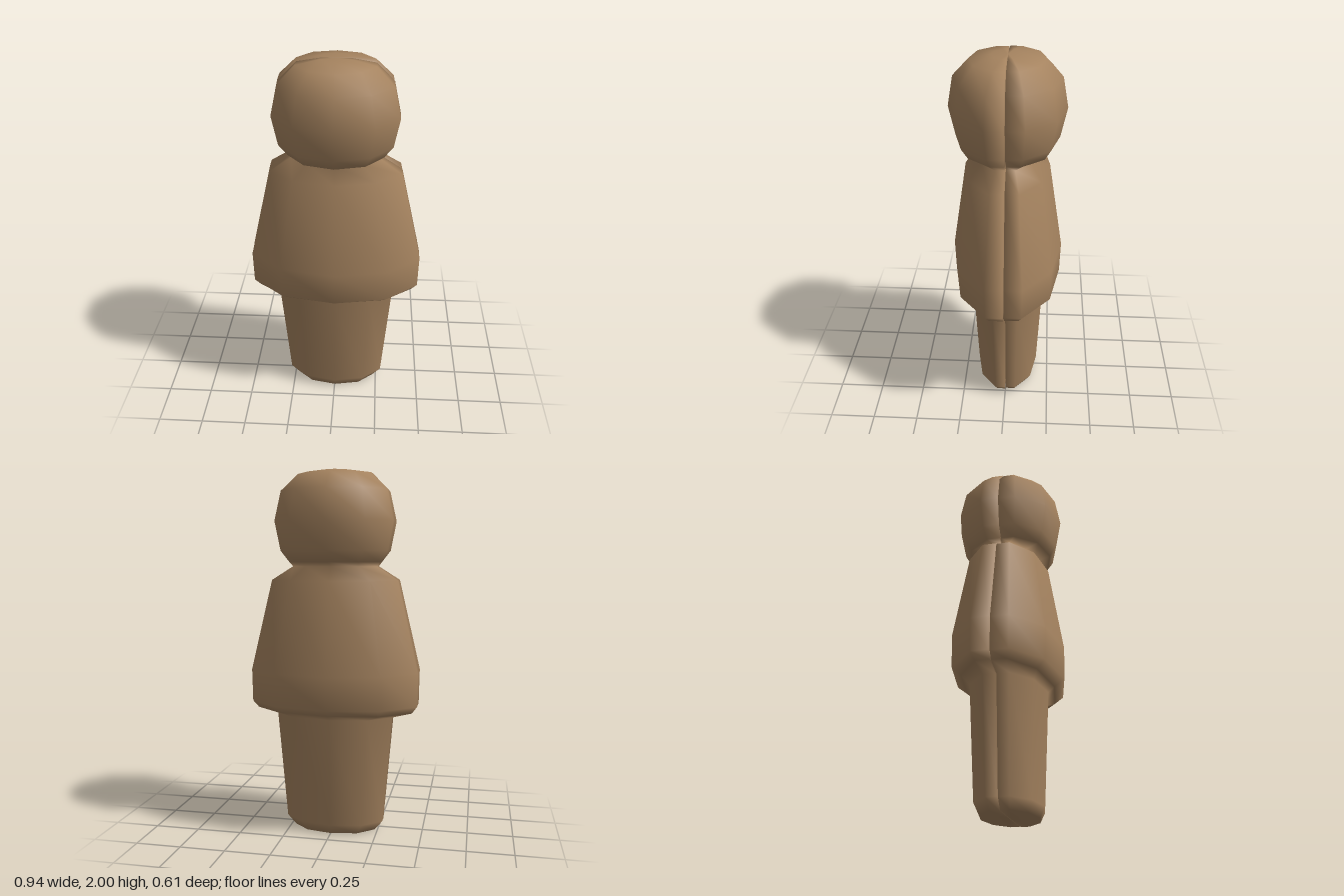
import * as THREE from 'three';

// Half cross-section as fractions of half-width and depth, from the left seam to the right seam
const SECTION = [[1, 0], [1, 0.32], [0.62, 0.82], [0, 1], [-0.62, 0.82], [-1, 0.32], [-1, 0]];

// Rings from the ground up: height, half-width, depth
const RINGS = [
  [0, 0, 0], [0, 0.23, 0.15], [0.055, 0.275, 0.175], [0.66, 0.325, 0.205],        // legs
  [0.69, 0.435, 0.24], [0.73, 0.463, 0.295], [0.91, 0.466, 0.3], [1.41, 0.35, 0.222], // coat
  [1.485, 0.235, 0.15],                                                           // neck
  [1.51, 0.25, 0.235], [1.57, 0.295, 0.27], [1.73, 0.325, 0.304],                 // head
  [1.89, 0.29, 0.275], [1.98, 0.2, 0.19], [2, 0.08, 0.08], [2, 0, 0],
];

// One closed half of the figure, with its flat inner face on z = 0
function halfGeometry() {
  const n = SECTION.length, last = RINGS.length - 1;
  const positions = [], shell = [], inner = [];
  for (const [y, w, d] of RINGS) {
    for (const [u, v] of SECTION) positions.push(u * w, y, v * d);
  }
  for (let i = 0; i < last; i++) {
    for (let j = 0; j < n; j++) {
      const k = (j + 1) % n;
      const a = i * n + j, b = i * n + k, c = b + n, e = a + n;
      (k ? shell : inner).push(a, e, c, a, c, b);
    }
  }
  const geometry = new THREE.BufferGeometry();
  geometry.setAttribute('position', new THREE.Float32BufferAttribute(positions, 3));
  geometry.setIndex(shell);
  geometry.computeVertexNormals();

  // Smooth the rim over into the inner face, and level the two end points
  const normals = geometry.attributes.normal, v = new THREE.Vector3();
  for (let i = 0; i <= last; i++) {
    for (let j = 0; j < n; j++) {
      v.fromBufferAttribute(normals, i * n + j);
      if (i === 0 || i === last) v.set(0, i ? 1 : -1, 0);
      else if (j === 0 || j === n - 1) v.z -= 1;
      v.normalize();
      normals.setXYZ(i * n + j, v.x, v.y, v.z);
    }
  }
  geometry.setIndex([...shell, ...inner]);
  return geometry;
}

export function createModel() {
  const group = new THREE.Group();
  group.name = 'figurine';
  const clay = new THREE.MeshStandardMaterial({ color: 0xa5835f });
  clay.name = 'tan brown';
  const geometry = halfGeometry();

  // Two matching halves, back to back with a narrow gap
  const front = new THREE.Mesh(geometry, clay);
  front.name = 'frontHalf';
  front.position.set(0.003, 0, 0);

  const back = new THREE.Mesh(geometry, clay);
  back.name = 'backHalf';
  back.rotation.y = Math.PI;
  back.position.set(-0.003, 0, -0.005);

  group.add(front, back);
  return group;
}
